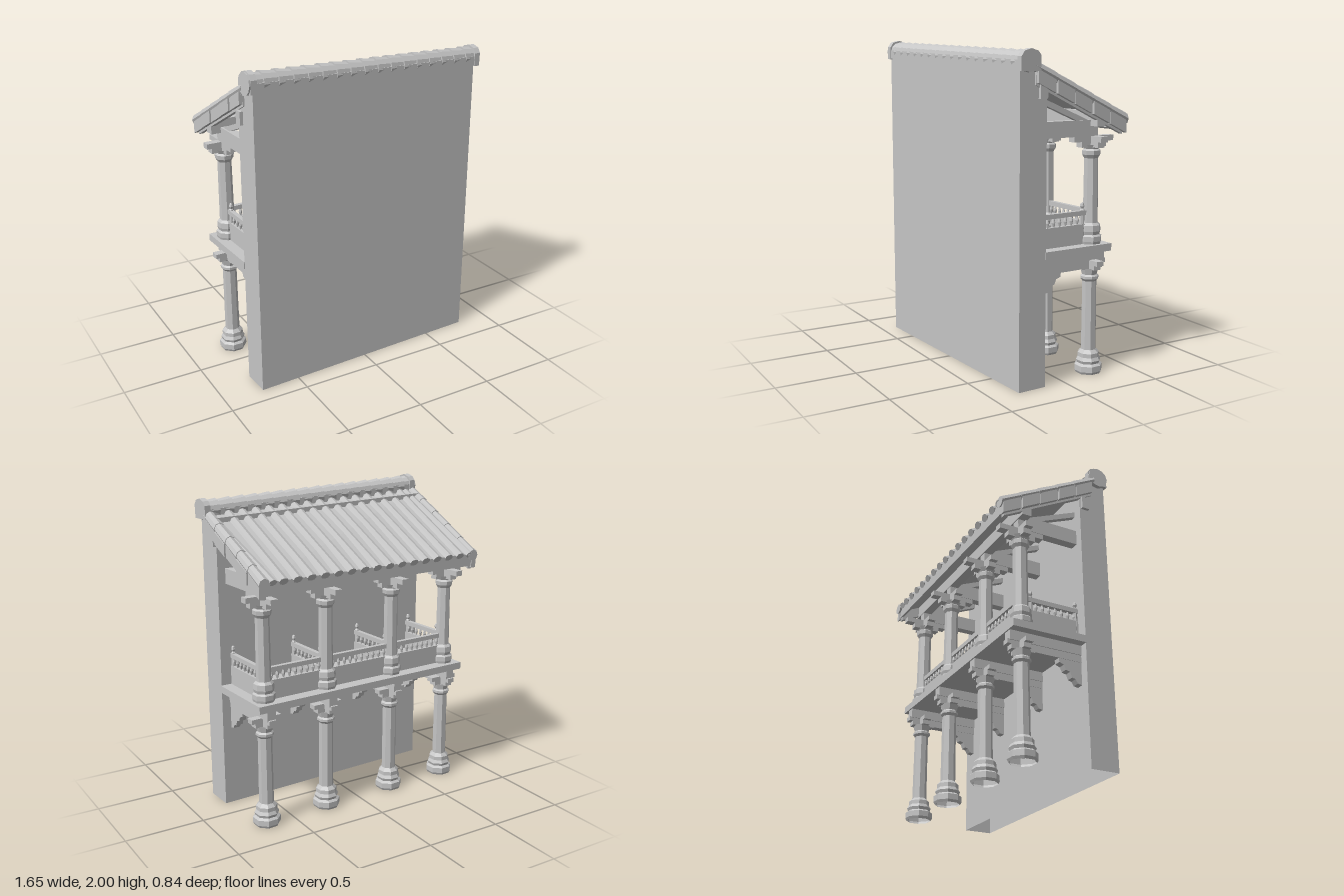
import * as THREE from 'three';

export function createModel() {
  const model = new THREE.Group();
  model.name = 'balconyFacade';
  const stone = new THREE.MeshStandardMaterial({ color: 0xc6c6c6, flatShading: true, side: THREE.DoubleSide });
  stone.name = 'pale grey';

  // The whole facade stands slightly turned
  const body = new THREE.Group();
  body.name = 'body';
  body.rotation.y = 0.047;
  model.add(body);

  const add = (name, geo, parent = body) => {
    const m = new THREE.Mesh(geo, stone);
    m.name = name;
    parent.add(m);
    return m;
  };
  // Box given by its low and high limits on each axis
  const box = (name, x0, x1, y0, y1, z0, z1, parent) => {
    const g = new THREE.BoxGeometry(x1 - x0, y1 - y0, z1 - z0);
    g.translate((x0 + x1) / 2, (y0 + y1) / 2, (z0 + z1) / 2);
    return add(name, g, parent);
  };
  const lathe = (name, pts, sides, x, y, z) => {
    const g = new THREE.LatheGeometry(pts.map(p => new THREE.Vector2(...p)), sides);
    g.rotateY(Math.PI / sides);
    return add(name, g.translate(x, y, z));
  };
  const reshape = (geo, rule) => {
    const p = geo.attributes.position, v = new THREE.Vector3();
    for (let i = 0; i < p.count; i++) {
      rule(v.fromBufferAttribute(p, i));
      p.setXYZ(i, v.x, v.y, v.z);
    }
    geo.computeVertexNormals();
    return geo;
  };

  // Wall with a sloping top and an open foot
  const wallGeo = new THREE.BoxGeometry(1.54, 1.86, 0.182).translate(0, 0.93, 0.269);
  const idx = Array.from(wallGeo.index.array);
  idx.splice(18, 6);
  wallGeo.setIndex(idx);
  add('wall', reshape(wallGeo, v => { if (v.y > 1) v.y -= 0.026 * v.x; }));

  // Roof height: the top edge drops toward +x, the eave is level
  const zTop = 0.26, zEave = -0.38;
  const roofY = (x, z) => {
    const t = (z - zEave) / (zTop - zEave);
    return 1.545 + t * (1.87 - 0.026 * x - 1.545);
  };
  const onRoof = (name, w, thick, z0, z1, x, lift) => add(name, reshape(
    new THREE.BoxGeometry(w, thick, z1 - z0).translate(x, lift - thick / 2, (z0 + z1) / 2),
    v => { v.y += roofY(v.x, v.z); }));
  onRoof('roofDeck', 1.58, 0.035, -0.37, zTop, 0, 0);
  onRoof('eaveBoard', 1.56, 0.075, -0.37, -0.345, 0, -0.005);

  // Round tile rows, running from ridge to eave
  const tileRow = (xTop, xBottom, r) => {
    const a = new THREE.Vector3(xTop, roofY(xTop, zTop), zTop);
    const b = new THREE.Vector3(xBottom, roofY(xBottom, zEave), zEave);
    const g = new THREE.CylinderGeometry(r * 0.95, r, a.distanceTo(b), 8);
    g.scale(1, 1, 0.75);
    const m = add('tileRow', g);
    m.position.copy(a).add(b).multiplyScalar(0.5);
    m.quaternion.setFromUnitVectors(new THREE.Vector3(0, 1, 0), a.clone().sub(b).normalize());
  };
  for (let i = 0; i < 15; i++) {
    const x = -0.665 + i * 0.0935;
    tileRow(x, x, 0.031);
  }
  tileRow(0.765, 0.715, 0.028);
  tileRow(-0.715, -0.745, 0.028);

  // Stepped gable tiles along both slopes
  for (const s of [-1, 1]) {
    for (let i = 0; i < 5; i++) {
      const z0 = zEave + i * 0.128;
      const g = new THREE.CylinderGeometry(0.032, 0.037, 0.15, 8);
      g.rotateX(Math.PI / 2).translate(0, 0, z0 + 0.07);
      add('gableTile', reshape(g, v => {
        v.x += s * 0.772;
        v.y += roofY(v.x, v.z) - 0.002;
      }));
      onRoof('gableApron', 0.035, 0.075, z0 + 0.005, z0 + 0.125, s * (0.785 + 0.006 * (i % 2)), -0.015);
    }
    onRoof('gableBoard', 0.03, 0.10, -0.36, 0.26, s * 0.765, -0.005);
  }

  // Ridge of overlapping caps with larger end blocks
  const ridge = new THREE.Group();
  ridge.name = 'ridge';
  ridge.position.set(0, 1.9, 0.309);
  ridge.rotation.z = -0.034;
  body.add(ridge);
  box('ridgeBase', -0.785, 0.79, -0.045, 0.01, -0.06, 0.062, ridge);
  for (let i = 0; i < 17; i++) {
    const g = new THREE.CylinderGeometry(0.067, 0.056, 0.097, 12);
    g.rotateZ(Math.PI / 2).translate(-0.748 + i * 0.0935, 0, 0);
    add('ridgeTile', g, ridge);
  }
  const capShape = new THREE.Shape([[-0.066, -0.05], [0.066, -0.05], [0.066, 0.035], [0.045, 0.06],
    [0, 0.073], [-0.045, 0.06], [-0.066, 0.03]].map(p => new THREE.Vector2(...p)));
  for (const x of [-0.787, 0.767]) {
    const g = new THREE.ExtrudeGeometry(capShape, { depth: 0.038, bevelEnabled: false });
    add('ridgeEnd', g.rotateY(Math.PI / 2).translate(x, 0, 0), ridge);
  }
  box('wallPurlin', -0.79, 0.79, 1.67, 1.75, 0.185, 0.235);

  // Balcony floor
  box('floorSlab', -0.775, 0.775, 0.755, 0.80, -0.30, 0.18);

  // Profiles shared by all four bays
  const lowerColumn = [[0.078, 0], [0.086, 0.015], [0.086, 0.05], [0.07, 0.062], [0.077, 0.08], [0.066, 0.1],
    [0.066, 0.125], [0.046, 0.145], [0.044, 0.57], [0.056, 0.585], [0.056, 0.6], [0.046, 0.61], [0.058, 0.65]];
  const upperColumn = [[0.066, 0.8], [0.07, 0.815], [0.07, 0.845], [0.058, 0.855], [0.064, 0.875], [0.062, 0.91],
    [0.046, 0.925], [0.043, 1.31], [0.056, 1.33], [0.058, 1.355], [0.046, 1.365], [0.06, 1.39]];
  const corbel = new THREE.Shape([[0.18, 0.66], [0.025, 0.66], [0.03, 0.625], [0.06, 0.615], [0.072, 0.585],
    [0.1, 0.578], [0.112, 0.545], [0.135, 0.54], [0.15, 0.515], [0.18, 0.51]].map(p => new THREE.Vector2(...p)));
  const zc = -0.205;
  // Stepped bracket with arms along both axes
  const bracket = (x, y, h, reaches) => reaches.forEach((r, i) => {
    const y0 = y + i * h;
    box('bracketArmX', x - Math.min(r, 0.12), x + Math.min(r, 0.12), y0, y0 + h, zc - 0.025, zc + 0.025);
    box('bracketArmZ', x - 0.025, x + 0.025, y0, y0 + h, zc - r, zc + r);
  });

  // Railing between two floor points: board, balusters, handrail
  const railing = (x0, z0, x1, z1) => {
    const rail = new THREE.Group();
    rail.name = 'railing';
    const len = Math.hypot(x1 - x0, z1 - z0);
    rail.position.set((x0 + x1) / 2, 0, (z0 + z1) / 2);
    rail.rotation.y = Math.atan2(-(z1 - z0), x1 - x0);
    body.add(rail);
    box('railBoard', -len / 2, len / 2, 0.80, 0.92, -0.013, 0.013, rail);
    box('handrail', -len / 2, len / 2, 0.972, 1.0, -0.014, 0.014, rail);
    const n = Math.round(len / 0.042);
    for (let i = 0; i < n; i++) {
      const x = -len / 2 + (i + 0.5) * len / n;
      for (const [a, b, y] of [[0.005, 0.011, 0.959], [0.011, 0.005, 0.933]]) {
        add('baluster', new THREE.CylinderGeometry(a, b, 0.026, 6).translate(x, y, 0), rail);
      }
    }
  };

  const columnX = [-0.69, -0.25, 0.25, 0.69];
  columnX.forEach((x, i) => {
    lathe('lowerColumn', lowerColumn, 8, x, 0, zc);
    lathe('upperColumn', upperColumn, 8, x, 0, zc);
    bracket(x, 0.645, 0.028, [0.075, 0.1]);
    bracket(x, 1.375, 0.033, [0.09, 0.145]);

    // Floor beam and its wall corbel
    box('floorBeam', x - 0.03, x + 0.03, 0.695, 0.756, -0.292, 0.18);
    box('floorBeamLower', x - 0.025, x + 0.025, 0.65, 0.696, -0.16, 0.18);
    const g = new THREE.ExtrudeGeometry(corbel, { depth: 0.045, bevelEnabled: false });
    add('wallCorbel', g.rotateY(-Math.PI / 2).translate(x + 0.0225, 0, 0));

    // Tie beam, post and brace under the roof
    box('tieBeam', x - 0.028, x + 0.028, 1.44, 1.535, -0.23, 0.18);
    box('roofPost', x - 0.024, x + 0.024, 1.43, 1.6, zc - 0.024, zc + 0.024);
    add('roofBrace', reshape(new THREE.BoxGeometry(0.035, 0.035, 0.36).translate(x, 1.585, 0),
      v => { v.y += v.z * 0.42; }));

    // Side railing with knobbed posts
    railing(x, 0.175, x, -0.17);
    for (const z of [0.162, -0.142]) {
      lathe('railPost', [[0.014, 0.8], [0.014, 1.005], [0.007, 1.012], [0.014, 1.026], [0.01, 1.042], [0, 1.05]], 6, x, 0, z);
    }
    if (i < 3) railing(x + 0.03, zc, columnX[i + 1] - 0.03, zc);
  });

  // Long beam carrying the rafters
  box('eavePurlin', -0.78, 0.78, 1.5, 1.585, zc - 0.03, zc + 0.03);
  return model;
}
